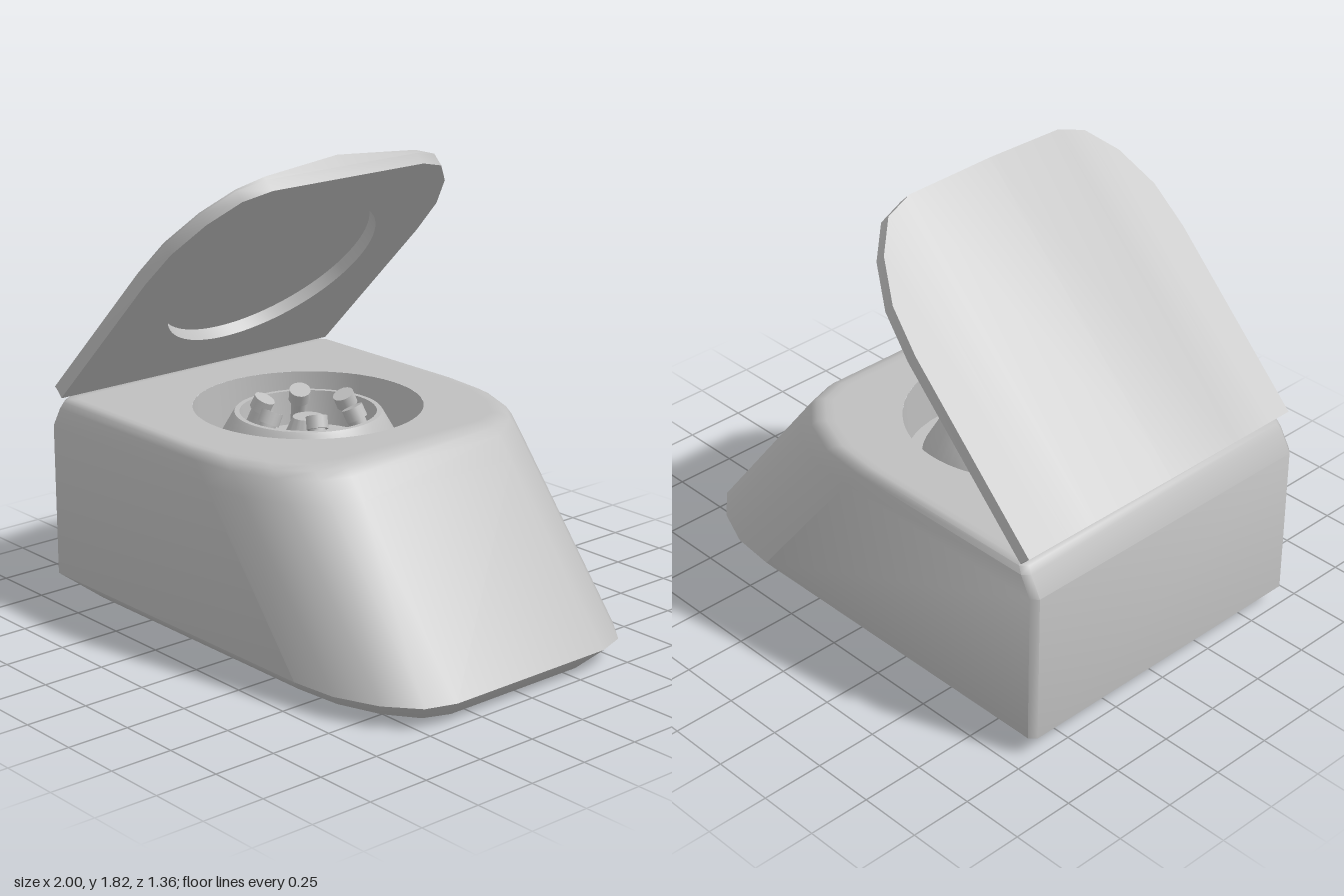
import * as THREE from 'three';
import { mergeGeometries, toCreasedNormals } from 'three/addons/utils/BufferGeometryUtils.js';

const gray = new THREE.MeshStandardMaterial({ color: 0xbfbfbf });
gray.name = 'light gray';

// Offsets of the rounded front corner: [back from the front edge, half width]
const CORNER = [[0.52, 0.68], [0.33, 0.66], [0.16, 0.59], [0.04, 0.49], [0, 0.37]];

function add(parent, name, geometry) {
  const mesh = new THREE.Mesh(geometry, gray);
  mesh.name = name;
  parent.add(mesh);
  return mesh;
}

// Plan outline shared by body and lid, as [x, z] pairs
function outline(back, front, half, bevel) {
  const s = half / 0.68;
  const side = [[back, half - bevel], [back + bevel, half],
    ...CORNER.map(([dx, z]) => [front - dx, z * s])];
  return [...side, ...side.map(([x, z]) => [x, -z]).reverse()];
}

const outlineShape = (points) => new THREE.Shape(points.map(([x, z]) => new THREE.Vector2(x, -z)));

function circleHole(x, r) {
  const path = new THREE.Path();
  path.absarc(x, 0, r, 0, Math.PI * 2, true);
  return path;
}

// Skin closed convex rings, with optional flat ends
function loft(rings, capStart, capEnd) {
  const pos = [];
  const tri = (...pts) => pts.forEach((p) => pos.push(...p));
  for (let k = 0; k < rings.length - 1; k++) {
    const lo = rings[k], hi = rings[k + 1];
    lo.forEach((a, i) => {
      const j = (i + 1) % lo.length;
      tri(a, lo[j], hi[j]);
      tri(a, hi[j], hi[i]);
    });
  }
  const first = rings[0], last = rings[rings.length - 1];
  for (let i = 1; i < first.length - 1; i++) {
    if (capStart) tri(first[0], first[i + 1], first[i]);
    if (capEnd) tri(last[0], last[i], last[i + 1]);
  }
  const g = new THREE.BufferGeometry();
  g.setAttribute('position', new THREE.Float32BufferAttribute(pos, 3));
  return g;
}

const lathe = (points) => toCreasedNormals(
  new THREE.LatheGeometry(points.map(([r, y]) => new THREE.Vector2(r, y)), 48), 0.6);

export function createModel() {
  const model = new THREE.Group();
  model.name = 'centrifuge';
  const wellX = -0.24, wellR = 0.445, topY = 0.82;

  // Housing walls: [height, back x, front x, half width]
  const levels = [
    [0, -0.84, 0.91, 0.58], [0.085, -1, 1, 0.68], [0.7, -1, 0.504, 0.68],
    [0.78, -0.955, 0.44, 0.678], [0.807, -0.938, 0.413, 0.671], [topY, -0.925, 0.375, 0.655],
    [topY, -0.895, 0.345, 0.63],
  ];
  const rings = levels.map(([, b, f, h]) => outline(b, f, h, 0.025));
  const walls = loft(rings.map((ring, k) => ring.map(([x, z]) => [x, levels[k][0], z])), true, false);

  // Top deck with the round opening, joined smoothly to the walls
  const deckShape = outlineShape(rings[rings.length - 1]);
  deckShape.holes.push(circleHole(wellX, wellR));
  const deck = new THREE.ShapeGeometry(deckShape, 48)
    .rotateX(-Math.PI / 2).translate(0, topY, 0).toNonIndexed();
  deck.deleteAttribute('normal');
  deck.deleteAttribute('uv');
  add(model, 'housing', toCreasedNormals(mergeGeometries([walls, deck]), 0.9));

  // Chamber and rotor
  const chamber = new THREE.Group();
  chamber.name = 'chamber';
  chamber.position.x = wellX;
  model.add(chamber);
  add(chamber, 'chamberWall', lathe([[wellR, topY], [wellR, 0.6], [0, 0.6]]));
  add(chamber, 'rotor', lathe([
    [0.375, 0.6], [0.375, 0.64], [0.292, 0.785], [0.285, 0.795], [0.265, 0.795],
    [0.255, 0.66], [0.11, 0.66], [0.06, 0.77], [0, 0.77],
  ]));

  // Six capped tubes leaning in at the top
  for (let i = 0; i < 6; i++) {
    const holder = new THREE.Group();
    holder.name = 'tube' + (i + 1);
    holder.rotation.y = Math.PI / 6 + i * Math.PI / 3;
    chamber.add(holder);
    const tube = new THREE.Group();
    tube.position.set(0.18, topY, 0);
    tube.rotation.z = 0.45;
    holder.add(tube);
    add(tube, 'tubeBody', new THREE.CylinderGeometry(0.032, 0.026, 0.15, 16)).position.y = -0.1;
    add(tube, 'tubeCap', new THREE.CylinderGeometry(0.042, 0.042, 0.05, 16)).position.y = -0.02;
  }

  // Open lid: lower plate with a round recess, and a slightly crowned cover
  const lid = new THREE.Group();
  lid.name = 'lid';
  lid.position.set(-0.925, topY, 0);
  lid.rotation.z = Math.PI / 4;
  model.add(lid);
  const length = 1.315, half = 0.675, plate = 0.05;
  const shape = outlineShape(outline(0, length, half, 0.003));
  shape.holes.push(circleHole(0.672, 0.45));
  add(lid, 'lidPlate', toCreasedNormals(
    new THREE.ExtrudeGeometry(shape, { depth: plate, bevelEnabled: false, curveSegments: 48 })
      .rotateX(-Math.PI / 2), 0.6));

  const left = CORNER.map(([dx, z]) => [-z * half / 0.68, length - dx]);
  const stations = [...left, [0, length], ...left.map(([z, u]) => [-z, u]).reverse()];
  add(lid, 'lidCover', toCreasedNormals(loft(stations.map(([z, u]) => {
    const top = 0.056 + 0.046 * Math.max(0, 1 - Math.abs(z) / 0.45);
    return [[0, plate, z], [u, plate, z], [u, top, z], [0, top, z]];
  }), true, true), 0.9));

  return model;
}
